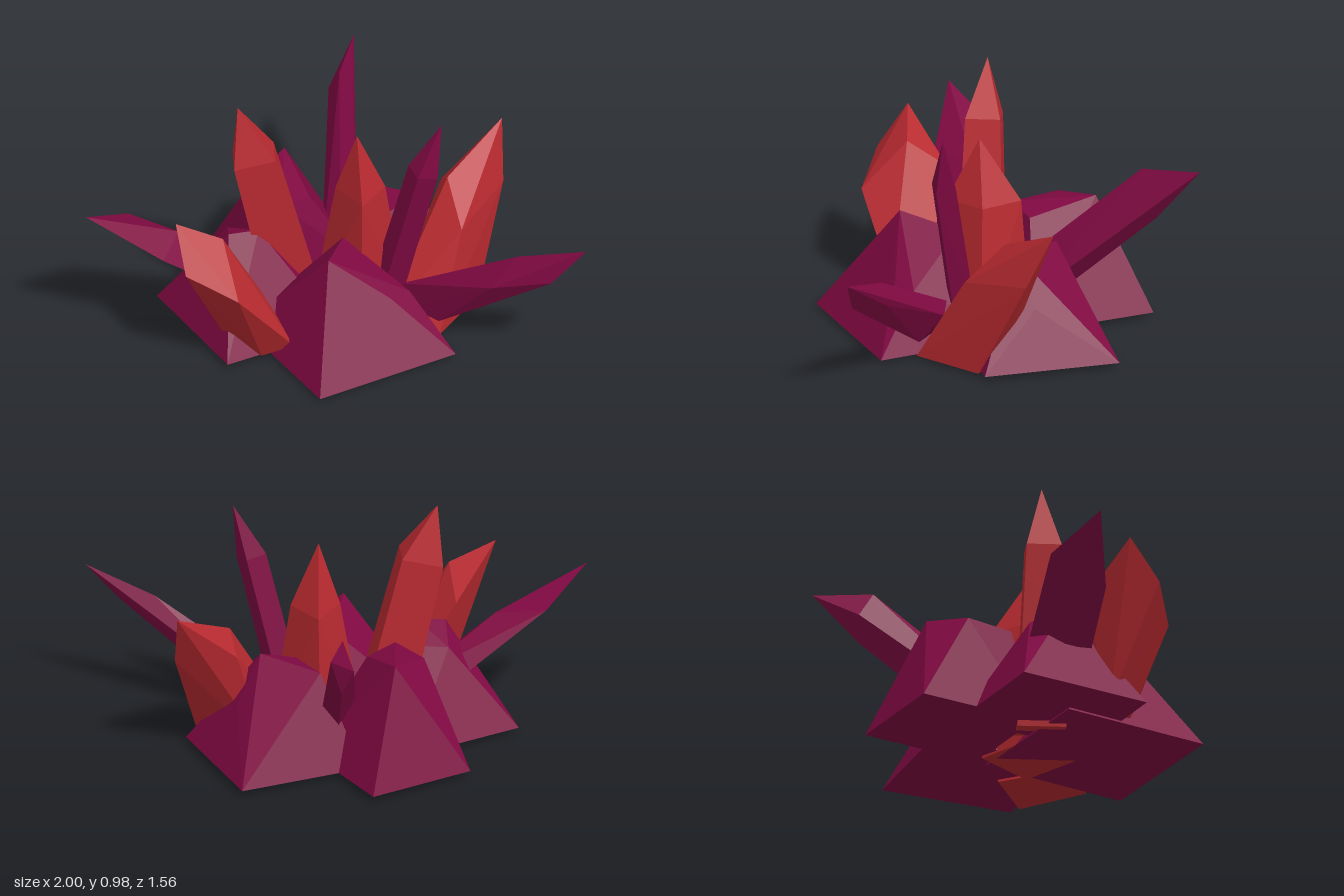
import * as THREE from 'three';
import { ConvexGeometry } from 'three/addons/geometries/ConvexGeometry.js';

const V = (p) => new THREE.Vector3(...p);

export function createModel() {
  const group = new THREE.Group();
  const red = new THREE.MeshStandardMaterial({ color: 0xb82a30, flatShading: true });
  const purple = new THREE.MeshStandardMaterial({ color: 0x800942, flatShading: true });

  function add(name, points, material) {
    const mesh = new THREE.Mesh(new ConvexGeometry(points), material);
    mesh.name = name;
    group.add(mesh);
  }

  // Four-sided ring across the crystal's axis; w is its level half width, h its upright one
  function ring(center, axis, w, h, spin) {
    const u = axis.clone().cross(new THREE.Vector3(0, 1, 0)).normalize();
    const v = u.clone().cross(axis).normalize();
    return [0, 1, 2, 3].map((i) => {
      const a = spin + (i * Math.PI) / 2;
      const p = center.clone().addScaledVector(u, w * Math.cos(a)).addScaledVector(v, h * Math.sin(a));
      p.y = Math.max(p.y, 0);
      return p;
    });
  }

  // Upright crystal: foot ring, shoulder ring and a single off-centre tip
  function crystal(name, material, foot, shoulder, tip, footSize, shoulderSize, spin = 0) {
    const a = V(foot), b = V(shoulder);
    const axis = b.clone().sub(a).normalize();
    add(name, [...ring(a, axis, ...footSize, spin), ...ring(b, axis, ...shoulderSize, spin), V(tip)], material);
  }
  crystal('tallRedCrystal', red, [-0.14, 0.03, 0.12], [-0.315, 0.76, 0.12], [-0.38, 0.99, 0.11], [0.14, 0.14], [0.1, 0.12], Math.PI / 4);
  crystal('middleRedCrystal', red, [0.11, 0.02, 0.09], [0.115, 0.58, 0.09], [0.1, 0.84, 0.11], [0.19, 0.19], [0.15, 0.1]);
  crystal('uprightPurpleSpike', purple, [0.22, 0.15, 0.17], [0.36, 0.74, 0.235], [0.435, 0.965, 0.235], [0.06, 0.07], [0.055, 0.065]);

  // Leaning crystal: four foot corners, four corners of a slanted shoulder, tip
  function leaning(name, material, foot, shoulder, tip) {
    add(name, [...foot, ...shoulder, tip].map(V), material);
  }
  leaning('leftRedCrystal', red,
    [[0.42, 0.02, 0.34], [0.585, 0.02, 0.08], [0.33, 0.02, -0.02], [0.2, 0.02, 0.24]],
    [[0.47, 0.54, -0.02], [0.7, 0.45, -0.12], [0.52, 0.39, 0.14], [0.45, 0.46, -0.13]],
    [0.7, 0.68, -0.23]);
  leaning('rightRedCrystal', red,
    [[-0.17, 0.08, 0.48], [-0.3, 0.03, 0.47], [-0.42, 0.03, 0.38], [-0.22, 0.08, 0.26]],
    [[-0.455, 0.58, 0.44], [-0.61, 0.49, 0.57], [-0.4, 0.39, 0.62], [-0.47, 0.47, 0.28]],
    [-0.645, 0.665, 0.45]);
  leaning('rightPurpleSpike', purple,
    [[-0.34, 0.16, 0.02], [-0.24, 0.12, 0.27], [-0.3, 0.24, 0.1], [-0.26, 0.06, 0.14]],
    [[-0.82, 0.5, 0.12], [-0.69, 0.42, 0.35], [-0.62, 0.46, 0.2], [-0.76, 0.44, 0.26]],
    [-1, 0.615, 0.31]);
  leaning('leftPurpleSpike', purple,
    [[0.42, 0.08, 0.33], [0.27, 0.2, 0.23], [0.42, 0.2, 0.23], [0.3, 0.1, 0.25]],
    [[0.73, 0.47, 0.46], [0.86, 0.41, 0.57], [0.62, 0.34, 0.49], [0.75, 0.38, 0.44]],
    [1, 0.565, 0.58]);
  leaning('backPurpleSpike', purple,
    [[0.04, 0.24, 0], [0.04, 0.02, -0.05], [-0.04, 0.13, 0], [0.11, 0.13, -0.06]],
    [[0.06, 0.71, -0.54], [0.07, 0.5, -0.6], [0.02, 0.6, -0.6], [0.115, 0.6, -0.58]],
    [0.13, 0.73, -0.78]);

  // Broad purple chunks: four base corners (x, z) at a level, then the crest points
  function chunk(name, level, corners, crest) {
    add(name, [...corners.map(([x, z]) => V([x, level, z])), ...crest.map(V)], purple);
  }
  chunk('frontChunk', 0.02, [[-0.08, 0.78], [0.48, 0.48], [0.18, -0.08], [-0.38, 0.22]],
    [[-0.03, 0.46, 0.44], [0.07, 0.27, 0.52], [0.22, 0.27, 0.44], [0.3, 0.25, 0.36], [0.04, 0.41, 0.2]]);
  chunk('backChunk', 0.03, [[-0.47, -0.37], [-0.06, -0.58], [0.17, -0.12], [-0.24, 0.09]],
    [[-0.17, 0.49, -0.34], [-0.3, 0.45, -0.18], [-0.2, 0.44, 0], [-0.08, 0.42, -0.08]]);
  chunk('rightChunk', 0.03, [[-0.7, 0.02], [-0.44, 0.53], [0.02, 0.3], [-0.24, -0.21]],
    [[-0.42, 0.38, 0.06], [-0.42, 0.44, 0.2], [-0.3, 0.45, 0.19], [-0.22, 0.38, 0.1]]);
  chunk('leftChunk', 0.03, [[0.64, 0.05], [0.46, -0.48], [-0.04, -0.31], [0.14, 0.22]],
    [[0.35, 0.44, -0.06], [0.45, 0.25, -0.14], [0.12, 0.41, -0.2], [0.2, 0.38, 0.02]]);

  return group;
}
